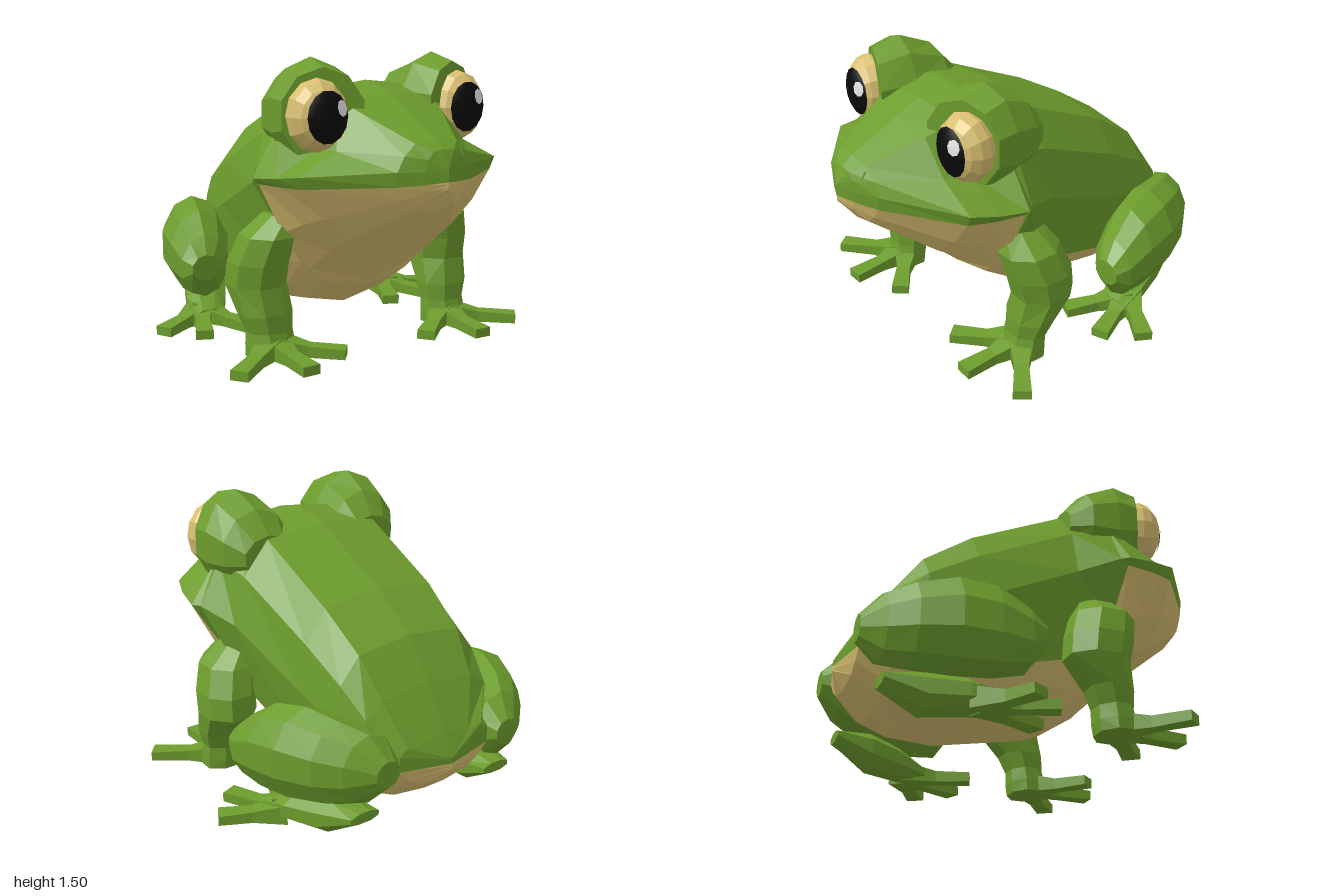
import * as THREE from 'three';

const mat = (name, color) => {
  const m = new THREE.MeshStandardMaterial({ color });
  m.name = name;
  return m;
};

// Faceted surface from rows of points; rows advance along the axis, points run counter-clockwise
function grid(rows, closed = false) {
  const pos = [];
  const tri = (a, b, c) => pos.push(...a, ...b, ...c);
  const n = rows[0].length;
  for (let i = 0; i < rows.length - 1; i++) {
    for (let j = 0; j < (closed ? n : n - 1); j++) {
      const k = (j + 1) % n;
      const a = rows[i][j], b = rows[i][k], c = rows[i + 1][k], d = rows[i + 1][j];
      tri(a, b, c);
      tri(a, c, d);
    }
  }
  if (closed) {
    const first = rows[0], last = rows[rows.length - 1];
    for (let j = 1; j < n - 1; j++) {
      tri(first[0], first[j + 1], first[j]);
      tri(last[0], last[j], last[j + 1]);
    }
  }
  const g = new THREE.BufferGeometry();
  g.setAttribute('position', new THREE.Float32BufferAttribute(pos, 3));
  g.computeVertexNormals();
  return g;
}

// Closed tube of elliptical rings [x, y, z, r1, r2, tilt], stacked upward along y or forward along z
function loft(rings, axis, sides) {
  return grid(rings.map(([x, y, z, r1, r2, tilt = 0]) =>
    Array.from({ length: sides }, (_, j) => {
      const t = ((j + 0.5) / sides) * Math.PI * 2;
      const u = r1 * Math.cos(t), v = r2 * Math.sin(t);
      return axis === 'z'
        ? [x + u * Math.cos(tilt), y + v, z - u * Math.sin(tilt)]
        : [x + u, y, z - v];
    })), true);
}

// Flat toe from [x, z] to [x, z]: thick at the root, broad at the tip
function toe(from, to) {
  const dx = to[0] - from[0], dz = to[1] - from[1];
  const g = new THREE.BoxGeometry(0.1, 0.05, Math.hypot(dx, dz), 1, 1, 2);
  const p = g.attributes.position;
  for (let i = 0; i < p.count; i++) {
    const root = p.getZ(i) < -0.01, tip = p.getZ(i) > 0.01;
    p.setX(i, p.getX(i) * (root ? 1.5 : tip ? 0.95 : 0.75));
    if (p.getY(i) > 0) p.setY(i, root ? 0.085 : tip ? 0.025 : 0.035);
  }
  g.rotateY(Math.atan2(dx, dz));
  g.translate((from[0] + to[0]) / 2, 0.027, (from[1] + to[1]) / 2);
  const flat = g.toNonIndexed();
  flat.computeVertexNormals();
  return flat;
}

// Cap of a unit sphere facing +z
function cap(radius, angle, sides, rows) {
  const g = new THREE.SphereGeometry(radius, sides, rows, 0, Math.PI * 2, 0, angle);
  g.rotateX(Math.PI / 2);
  return g;
}

// Body sections, rump to snout:
// z, top y, top half width, widest x y, colour border x y, bottom y, shoulder bulge
const SECTIONS = [
  [-1.0, 0.4, 0, 0, 0.39, 0, 0.37, 0.34, 0],
  [-0.94, 0.51, 0.15, 0.28, 0.46, 0.28, 0.38, 0.25, 0.02],
  [-0.8, 0.73, 0.28, 0.4, 0.48, 0.36, 0.27, 0.14, 0.04],
  [-0.65, 0.93, 0.31, 0.45, 0.55, 0.4, 0.27, 0.08, 0.04],
  [-0.4, 1.1, 0.33, 0.48, 0.65, 0.42, 0.3, 0.06, 0.04],
  [0.1, 1.33, 0.34, 0.55, 0.86, 0.44, 0.42, 0.15, 0.04],
  [0.3, 1.37, 0.33, 0.64, 0.93, 0.48, 0.62, 0.28, 0.03],
  [0.34, 1.37, 0.32, 0.67, 0.93, 0.64, 0.9, 0.32, 0.02],
  [0.5, 1.33, 0.28, 0.64, 0.95, 0.61, 0.905, 0.47, -0.05],
  [0.63, 1.27, 0.23, 0.59, 0.97, 0.56, 0.91, 0.57, -0.03],
  [0.9, 1.14, 0.12, 0.22, 1.0, 0.21, 0.93, 0.79, 0.01],
  [0.96, 1.1, 0.06, 0.1, 1.0, 0.095, 0.94, 0.87, 0.01],
  [1.0, 1.01, 0, 0, 0.98, 0, 0.95, 0.92, 0],
];

// Mirrored half outlines: the upper one runs border to top, the lower one border to bottom
function bodyRows(upper) {
  return SECTIONS.map(([z, top, xa, xb, yb, xm, ym, bottom, bulge]) => {
    const ya = top - 0.12 * xa;
    const low = (across, up) => [-across * xm, bottom + up * (ym - bottom)];
    const half = upper
      ? [[xm, ym], [xb, yb], [(xa + xb) / 2 + bulge, (ya + yb) / 2 + bulge], [xa, ya]]
      : [low(1, 1), low(0.8, 0.55), low(0.55, 0.2)];
    const other = half.map(([x, y]) => [-x, y]).reverse();
    return [...half, [0, upper ? top : bottom], ...other].map(([x, y]) => [x, y, z]);
  });
}

export function createModel() {
  const green = mat('frog green', 0x6c9c2d);
  const tan = mat('belly tan', 0xd8be70);
  const black = mat('pupil black', 0x0a0a0a);
  const white = mat('glint white', 0xe4e4e4);
  const model = new THREE.Group();
  model.name = 'frog';
  const add = (parent, name, geometry, material) => {
    const mesh = new THREE.Mesh(geometry, material);
    mesh.name = name;
    parent.add(mesh);
    return mesh;
  };

  // Back and head above, throat and belly below
  add(model, 'back', grid(bodyRows(true)), green);
  add(model, 'belly', grid(bodyRows(false)), tan);

  for (const s of [1, -1]) {
    const side = new THREE.Group();
    side.name = s > 0 ? 'leftSide' : 'rightSide';
    side.scale.x = s;
    model.add(side);

    // Brow bulge behind the eye
    add(side, 'brow', loft([
      [0.33, 1.2, 0.1, 0.15, 0.11], [0.345, 1.22, 0.2, 0.21, 0.21],
      [0.365, 1.23, 0.37, 0.22, 0.275, 0.15], [0.385, 1.235, 0.52, 0.21, 0.23, 0.38],
    ], 'z', 10), green);

    // Eye with pupil and glint
    const eye = new THREE.Group();
    eye.name = 'eye';
    eye.position.set(0.42, 1.237, 0.52);
    eye.rotation.y = 0.2;
    eye.scale.set(0.155, 0.18, 0.125);
    side.add(eye);
    const ball = new THREE.SphereGeometry(1, 12, 8).rotateX(Math.PI / 2).toNonIndexed();
    ball.computeVertexNormals();
    add(eye, 'eyeball', ball, tan);
    const pupil = add(eye, 'pupil', cap(1.03, 0.76, 14, 4), black);
    pupil.rotation.y = -0.2;
    const glint = add(eye, 'glint', cap(1.06, 0.22, 8, 2), white);
    glint.rotation.set(-0.28, s > 0 ? 0.16 : -0.6, 0);

    // Nostril
    const nostril = add(side, 'nostril', new THREE.ConeGeometry(0.035, 0.05, 3), green);
    nostril.position.set(0.13, 1.085, 0.91);

    // Front leg and foot
    add(side, 'frontLeg', loft([
      [0.55, 0, 0.27, 0.13, 0.1], [0.55, 0.06, 0.27, 0.13, 0.11],
      [0.55, 0.13, 0.26, 0.125, 0.1], [0.56, 0.22, 0.24, 0.145, 0.12],
      [0.575, 0.36, 0.17, 0.155, 0.17], [0.57, 0.48, 0.19, 0.155, 0.18],
      [0.53, 0.62, 0.23, 0.15, 0.17], [0.46, 0.72, 0.24, 0.09, 0.12],
    ], 'y', 8), green);
    for (const tip of [[0.86, 0.53], [0.53, 0.65], [0.25, 0.52]]) {
      add(side, 'frontToe', toe([0.54, 0.28], tip), green);
    }

    // Folded thigh
    add(side, 'thigh', loft([
      [0.38, 0.42, -0.98, 0.07, 0.07], [0.42, 0.42, -0.88, 0.16, 0.18],
      [0.5, 0.42, -0.76, 0.18, 0.22], [0.57, 0.42, -0.58, 0.2, 0.25],
      [0.62, 0.4, -0.4, 0.18, 0.235], [0.66, 0.36, -0.25, 0.14, 0.17],
      [0.69, 0.37, -0.17, 0.08, 0.07],
    ], 'z', 10), green);

    // Hind foot
    add(side, 'hindFoot', loft([
      [0.43, 0.155, -0.87, 0.09, 0.03], [0.46, 0.1, -0.68, 0.14, 0.1],
      [0.54, 0.085, -0.5, 0.13, 0.085], [0.61, 0.045, -0.32, 0.1, 0.043],
    ], 'z', 8), green);
    for (const tip of [[0.9, -0.27], [0.74, -0.1], [0.46, -0.1]]) {
      add(side, 'hindToe', toe([0.6, -0.44], tip), green);
    }
  }
  return model;
}
